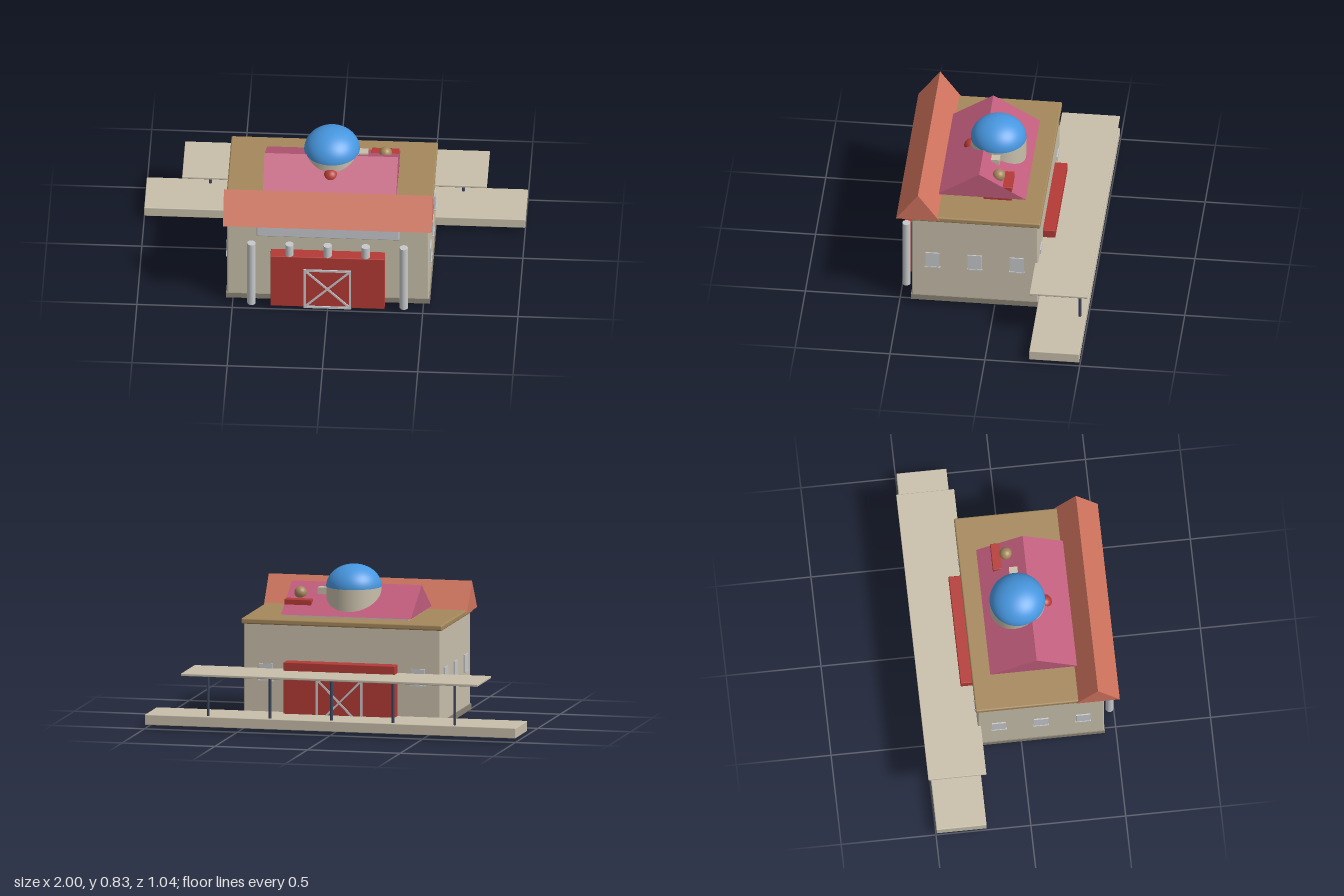
import * as THREE from 'three';
import { RoundedBoxGeometry } from 'three/addons/geometries/RoundedBoxGeometry.js';

const material = (name, color) => {
  const m = new THREE.MeshStandardMaterial({ color });
  m.name = name;
  return m;
};

export function createModel() {
  const model = new THREE.Group();
  model.name = 'stationBuilding';

  const stone = material('stone', 0xc8bfab);
  const plinthGrey = material('plinthGrey', 0x8a8374);
  const tan = material('tan', 0xa5885c);
  const terracotta = material('terracotta', 0xd0745e);
  const rose = material('rose', 0xc05c7c);
  const red = material('red', 0xb43a35);
  const blue = material('blue', 0x4797e0);
  const lightGrey = material('lightGrey', 0xc6c8cb);
  const navy = material('navy', 0x3c4760);

  const add = (name, geometry, mat, x = 0, y = 0, z = 0, parent = model) => {
    const mesh = new THREE.Mesh(geometry, mat);
    mesh.name = name;
    mesh.position.set(x, y, z);
    parent.add(mesh);
    return mesh;
  };
  // Box given by its limits on each axis, with optional rounded edges
  const block = (name, mat, [x0, x1], [y0, y1], [z0, z1], radius = 0, parent = model) => {
    const size = [x1 - x0, y1 - y0, z1 - z0];
    const geometry = radius
      ? new RoundedBoxGeometry(...size, 2, radius)
      : new THREE.BoxGeometry(...size);
    return add(name, geometry, mat, (x0 + x1) / 2, (y0 + y1) / 2, (z0 + z1) / 2, parent);
  };
  const column = (name, mat, radius, x, y0, y1, z) =>
    add(name, new THREE.CylinderGeometry(radius, radius, y1 - y0, 20), mat, x, (y0 + y1) / 2, z);
  // Gabled prism with its ridge along x
  const gable = (name, mat, halfX, y0, y1, zBack, zRidge, zFront) => {
    const shape = new THREE.Shape();
    shape.moveTo(-zFront, y0);
    shape.lineTo(-zBack, y0);
    shape.lineTo(-zRidge, y1);
    shape.closePath();
    const geometry = new THREE.ExtrudeGeometry(shape, { depth: halfX * 2, bevelEnabled: false });
    geometry.translate(0, 0, -halfX);
    geometry.rotateY(Math.PI / 2);
    return add(name, geometry, mat);
  };

  // Main hall
  block('plinth', plinthGrey, [-0.535, 0.535], [0.02, 0.05], [-0.233, 0.44]);
  block('walls', stone, [-0.53, 0.53], [0.04, 0.55], [-0.23, 0.436], 0.008);
  block('cornice', tan, [-0.542, 0.542], [0.535, 0.565], [-0.242, 0.447], 0.008);

  // Underside frame
  for (const s of [-1, 1]) {
    block('baseFrameSide', navy, [s * 0.153 - 0.007, s * 0.153 + 0.007], [0, 0.02], [-0.14, 0.347]);
    const z = s > 0 ? 0.34 : -0.133;
    block('baseFrameEnd', navy, [-0.146, 0.146], [0, 0.02], [z - 0.007, z + 0.007]);
  }

  // Roofs
  gable('frontRoof', terracotta, 0.548, 0.549, 0.706, 0.288, 0.402, 0.517);
  block('attic', stone, [-0.335, 0.335], [0.56, 0.578], [-0.13, 0.3]);
  gable('upperRoof', rose, 0.35, 0.576, 0.721, -0.145, 0.1, 0.322);

  // Domed tower
  add('drum', new THREE.CylinderGeometry(0.145, 0.145, 0.15, 48), stone, 0, 0.64, 0.035);
  const dome = add('dome',
    new THREE.SphereGeometry(0.146, 48, 20, 0, Math.PI * 2, 0, Math.PI / 2), blue, 0, 0.714, 0.035);
  dome.scale.y = 0.8;
  add('towerKnob', new THREE.SphereGeometry(0.04, 24, 16), red, 0, 0.645, 0.177);
  block('towerBracket', stone, [0.13, 0.19], [0.64, 0.703], [0.01, 0.055]);

  // Rooftop box with ball
  block('roofBox', red, [0.204, 0.35], [0.56, 0.648], [-0.072, 0.077], 0.004);
  add('roofBall', new THREE.SphereGeometry(0.033, 24, 16), tan, 0.28, 0.674, 0.003);

  // Front and back porches, each with a braced door
  for (const side of [1, -1]) {
    const face = side > 0 ? 0.5 : -0.296;
    const wall = side > 0 ? 0.43 : -0.225;
    block('porch', red, [-0.3, 0.3], [0.02, 0.348],
      [Math.min(face, wall), Math.max(face, wall)], 0.004);
    const door = new THREE.Group();
    door.name = 'doorFrame';
    door.position.set(0, 0.143, face + side * 0.002);
    model.add(door);
    const bar = (w, h, x, y, angle = 0) => {
      const b = add('doorBar', new THREE.BoxGeometry(w, h, 0.009), lightGrey, x, y, 0, door);
      b.rotation.z = angle;
    };
    for (const s of [-1, 1]) {
      bar(0.012, 0.252, s * 0.119, 0);
      bar(0.25, 0.012, 0, s * 0.12);
      bar(0.336, 0.01, 0, 0, s * Math.PI / 4);
    }
  }

  // Front columns and sign board
  for (const s of [-1, 1]) column('frontColumn', lightGrey, 0.022, s * 0.4, 0.02, 0.415, 0.478);
  for (const x of [-0.2, 0, 0.2]) column('shortColumn', lightGrey, 0.022, x, 0.34, 0.415, 0.478);
  block('signBoard', lightGrey, [-0.375, 0.375], [0.44, 0.525], [0.432, 0.453], 0.006);

  // Windows with sills on the sides and the back
  const wallWindow = (x, z, turn) => {
    const group = new THREE.Group();
    group.name = 'window';
    group.position.set(x, 0.284, z);
    group.rotation.y = turn;
    add('pane', new THREE.BoxGeometry(0.075, 0.088, 0.009), lightGrey, 0, 0, 0.002, group);
    add('sill', new THREE.BoxGeometry(0.082, 0.006, 0.014), lightGrey, 0, -0.046, 0.003, group);
    model.add(group);
  };
  for (const s of [-1, 1]) {
    for (const z of [0.326, 0.104, -0.118]) wallWindow(s * 0.53, z, s * Math.PI / 2);
    wallWindow(s * 0.41, -0.23, Math.PI);
  }

  // Rear platform with canopy
  block('platform', stone, [-1, 1], [0.02, 0.075], [-0.497, -0.233], 0.004);
  block('canopy', stone, [-0.8, 0.8], [0.29, 0.303], [-0.519, -0.213], 0.003);
  for (let i = -2; i <= 2; i++) column('canopyPost', navy, 0.007, i * 0.332, 0.07, 0.295, -0.465);

  return model;
}
